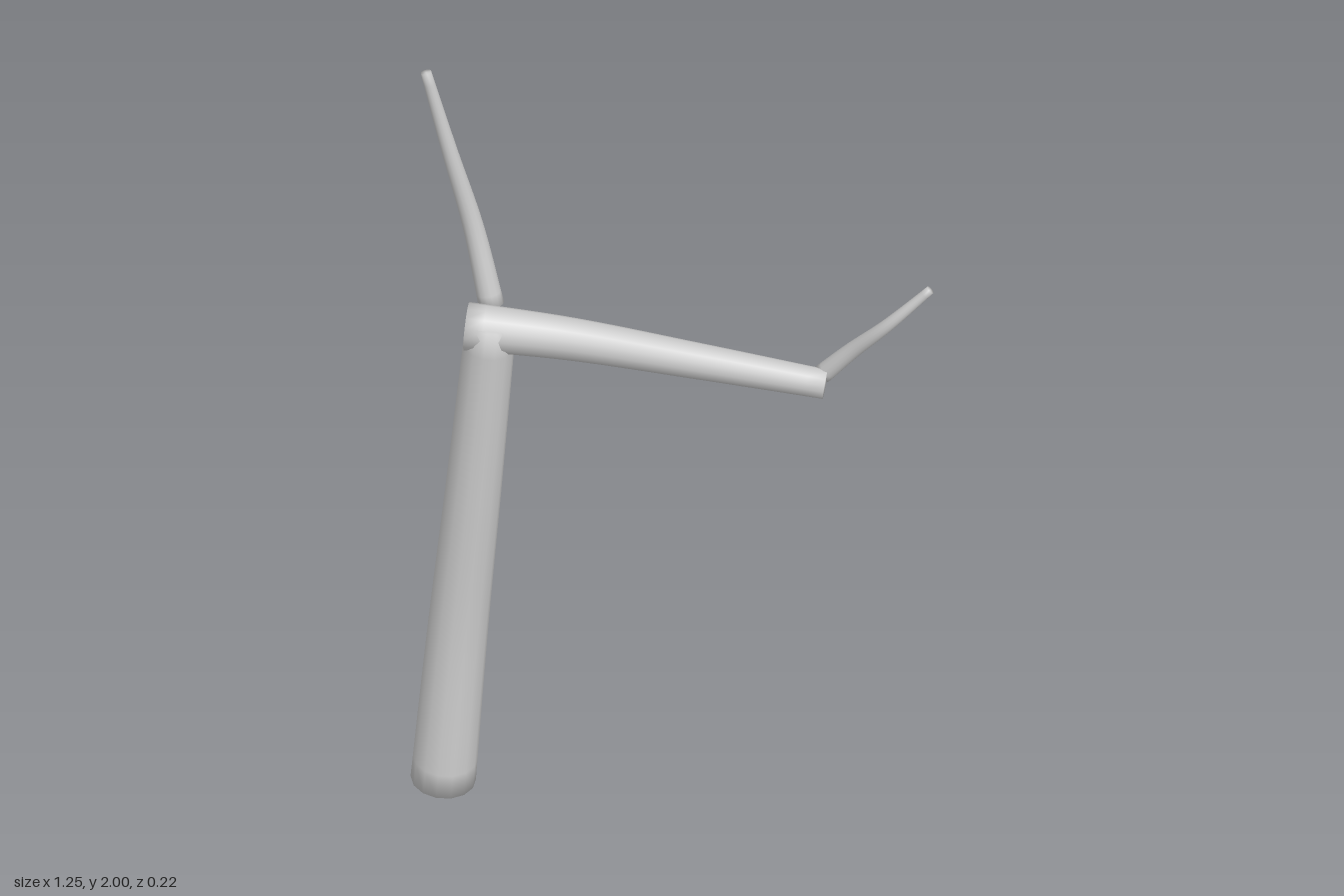
import * as THREE from 'three';

const material = new THREE.MeshStandardMaterial({ color: 0xcccccc });

// Closed tapered limb swept along a smooth curve, with welded round ends.
function limb(name, points, radii, sides = 14, steps = 20) {
  const curve = new THREE.CatmullRomCurve3(points.map(p => new THREE.Vector3(...p)));
  const { normals, binormals } = curve.computeFrenetFrames(steps, false);
  const pos = [], index = [];
  for (let i = 0; i <= steps; i++) {
    const c = curve.getPointAt(i / steps);
    const r = THREE.MathUtils.lerp(radii[0], radii[1], i / steps);
    for (let j = 0; j < sides; j++) {
      const a = (j / sides) * Math.PI * 2;
      const p = c.clone()
        .addScaledVector(normals[i], r * Math.cos(a))
        .addScaledVector(binormals[i], r * Math.sin(a));
      pos.push(p.x, p.y, p.z);
    }
  }
  for (let i = 0; i < steps; i++) {
    for (let j = 0; j < sides; j++) {
      const a = i * sides + j, b = i * sides + (j + 1) % sides;
      index.push(a, b, a + sides, b, b + sides, a + sides);
    }
  }
  // End caps
  const start = pos.length / 3, end = start + 1, last = steps * sides;
  pos.push(...points[0], ...points[points.length - 1]);
  for (let j = 0; j < sides; j++) {
    const k = (j + 1) % sides;
    index.push(start, k, j, end, last + j, last + k);
  }
  const geometry = new THREE.BufferGeometry();
  geometry.setAttribute('position', new THREE.Float32BufferAttribute(pos, 3));
  geometry.setIndex(index);
  geometry.computeVertexNormals();
  const mesh = new THREE.Mesh(geometry, material);
  mesh.name = name;
  return mesh;
}

export function createModel() {
  const group = new THREE.Group();
  group.name = 'bareBranch';
  group.add(
    // Thick leaning stem
    limb('trunk', [
      [-0.548, 0.014, 0.024], [-0.495, 0.5, 0], [-0.437, 0.95, 0.004], [-0.378, 1.415, 0.014],
    ], [0.084, 0.058]),
    // Long side branch across the top of the stem
    limb('sideBranch', [
      [-0.436, 1.396, 0.018], [-0.2, 1.372, -0.004], [0.1, 1.345, 0], [0.392, 1.318, 0.007],
    ], [0.056, 0.034]),
    // Upright twig behind the fork
    limb('upperTwig', [
      [-0.396, 1.405, -0.07], [-0.435, 1.6, -0.086], [-0.48, 1.8, -0.075], [-0.522, 1.997, -0.064],
    ], [0.03, 0.012]),
    // Small twig at the end of the side branch
    limb('endTwig', [
      [0.384, 1.332, -0.016], [0.445, 1.405, -0.004], [0.525, 1.495, 0.016], [0.616, 1.592, 0.006],
    ], [0.023, 0.01]),
  );
  return group;
}
